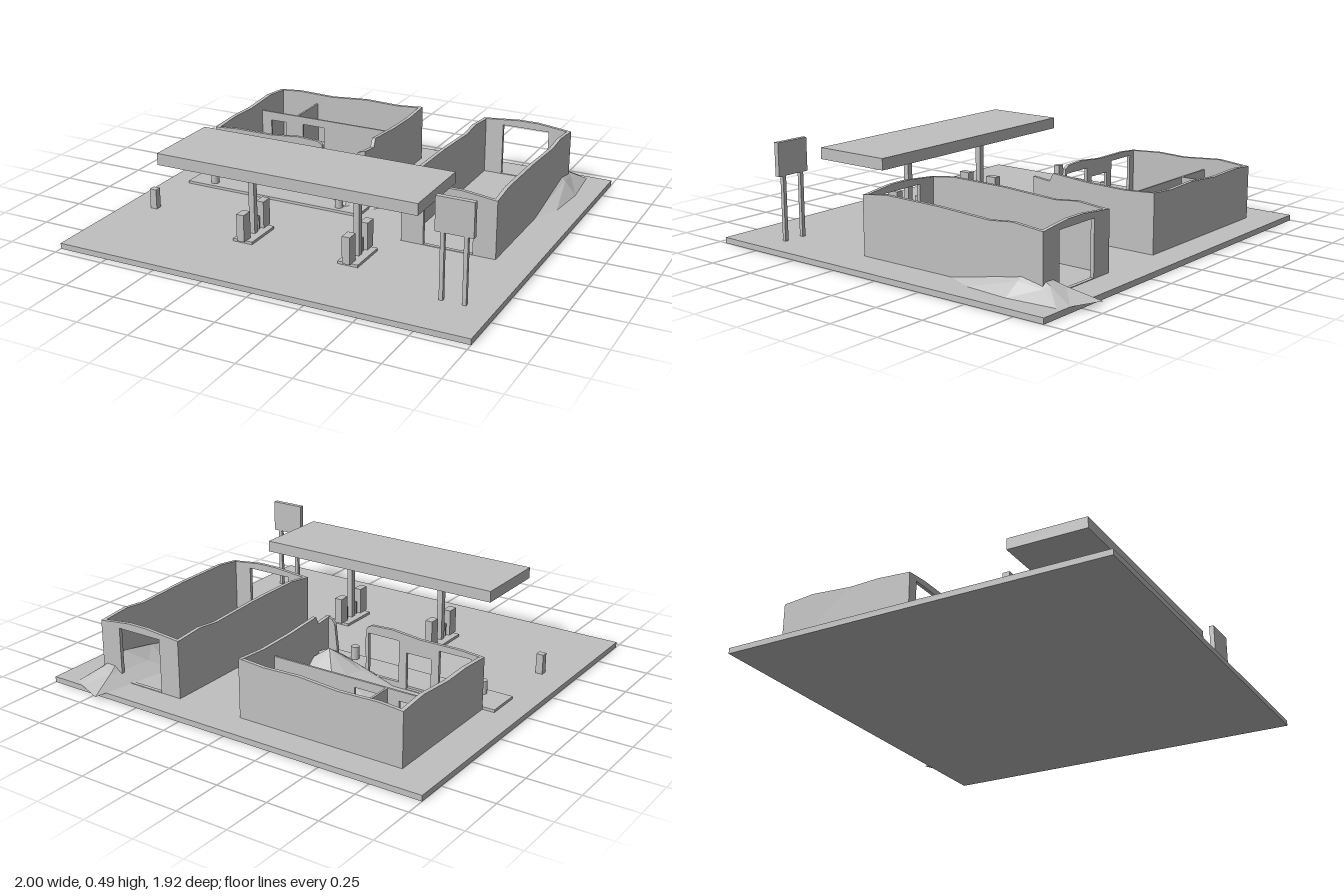
import * as THREE from 'three';

export function createModel() {
  const model = new THREE.Group();
  const grey = new THREE.MeshStandardMaterial({ color: 0xc0c0c0, side: THREE.DoubleSide });
  const ground = 0.027;

  const add = (name, geometry, parent = model) => {
    const flat = geometry.index ? geometry.toNonIndexed() : geometry;
    flat.computeVertexNormals();
    const mesh = new THREE.Mesh(flat, grey);
    mesh.name = name;
    parent.add(mesh);
    return mesh;
  };

  // Box given by its limits on each axis
  const box = (name, x0, x1, y0, y1, z0, z1, parent) =>
    add(name, new THREE.BoxGeometry(x1 - x0, y1 - y0, z1 - z0)
      .translate((x0 + x1) / 2, (y0 + y1) / 2, (z0 + z1) / 2), parent);

  // Wall with an uneven top [[u, y], ...] and rectangular openings [u0, u1, y0, y1]
  const wallShape = (top, openings) => {
    const first = top[0][0], last = top[top.length - 1][0];
    const shape = new THREE.Shape([[first, ground], [last, ground], ...top.slice().reverse()]
      .map(([u, y]) => new THREE.Vector2(u, y)));
    for (const [u0, u1, y0, y1] of openings) {
      shape.holes.push(new THREE.Path([[u0, y0], [u0, y1], [u1, y1], [u1, y0]]
        .map(([u, y]) => new THREE.Vector2(u, y))));
    }
    return shape;
  };
  const wallAlongX = (name, z, thick, top, openings = []) =>
    add(name, new THREE.ExtrudeGeometry(wallShape(top, openings), { depth: thick, bevelEnabled: false })
      .translate(0, 0, z));
  const wallAlongZ = (name, x, thick, top, openings = []) =>
    add(name, new THREE.ExtrudeGeometry(wallShape(top, openings), { depth: thick, bevelEnabled: false })
      .rotateY(-Math.PI / 2).translate(x + thick, 0, 0));

  // Faceted heap rising from an outline to a peak, through one middle ring
  const heap = (name, outline, [px, py, pz], rise) => {
    const points = [];
    const n = outline.length;
    const mid = outline.map(([x, z], i) => [
      x + (px - x) * 0.5, ground + (py - ground) * (rise + (i % 2 ? 0.07 : -0.07)), z + (pz - z) * 0.5]);
    for (let i = 0; i < n; i++) {
      const j = (i + 1) % n;
      const a = [outline[i][0], ground, outline[i][1]];
      const b = [outline[j][0], ground, outline[j][1]];
      points.push(...a, ...b, ...mid[j], ...a, ...mid[j], ...mid[i], ...mid[i], ...mid[j], px, py, pz);
    }
    const geometry = new THREE.BufferGeometry();
    geometry.setAttribute('position', new THREE.Float32BufferAttribute(points, 3));
    add(name, geometry);
  };

  // Ground and walkway
  box('groundSlab', -1, 1, 0, ground, -0.9, 0.96);
  box('walkway', -0.88, 0.07, ground, 0.04, -0.085, 0.087);

  // Shop: roofless walls with a collapsed front corner
  wallAlongX('shopBackWall', -0.757, 0.018,
    [[-0.82, 0.285], [-0.7, 0.295], [-0.5, 0.29], [-0.3, 0.305], [-0.12, 0.3], [0.018, 0.31]]);
  wallAlongZ('shopRightWall', -0.82, 0.02,
    [[-0.757, 0.285], [-0.6, 0.3], [-0.4, 0.285], [-0.25, 0.29], [-0.085, 0.28]]);
  wallAlongZ('shopLeftWall', 0, 0.018,
    [[-0.757, 0.31], [-0.6, 0.3], [-0.4, 0.305], [-0.2, 0.32], [-0.18, 0.28], [-0.085, 0.29]]);
  wallAlongX('shopFrontWall', -0.101, 0.016,
    [[-0.82, 0.28], [-0.7, 0.29], [-0.5, 0.29], [-0.35, 0.305], [-0.24, 0.3], [-0.215, 0.285],
      [-0.205, 0.2], [-0.212, 0.12], [-0.2, ground]],
    [[-0.765, -0.6, 0.055, 0.26], [-0.56, -0.43, 0.03, 0.21], [-0.39, -0.225, 0.055, 0.26]]);
  wallAlongX('shopFrontCornerPier', -0.101, 0.016,
    [[-0.04, ground + 0.001], [-0.05, 0.13], [-0.035, 0.26], [-0.02, 0.28], [0.018, 0.29]]);
  wallAlongX('shopPartition', -0.523, 0.01,
    [[-0.8, 0.24], [0, 0.24]],
    [[-0.745, -0.655, 0.055, 0.195], [-0.555, -0.43, 0.03, 0.2]]);
  wallAlongZ('shopShortPartition', -0.597, 0.01, [[-0.74, 0.24], [-0.52, 0.24]]);

  // Garage: open bay through both ends
  const bay = [[0.47, 0.71, 0.03, 0.29]];
  const gableTop = [[0.36, 0.308], [0.44, 0.315], [0.55, 0.325], [0.65, 0.325], [0.74, 0.315], [0.82, 0.305]];
  wallAlongX('garageFrontWall', 0.22, 0.018, gableTop, bay);
  wallAlongX('garageBackWall', -0.757, 0.018, gableTop, bay);
  const sideTop = [[-0.757, 0.306], [-0.6, 0.32], [-0.48, 0.308], [-0.2, 0.322], [0.1, 0.325], [0.238, 0.307]];
  wallAlongZ('garageRightWall', 0.36, 0.018, sideTop);
  wallAlongZ('garageLeftWall', 0.802, 0.018, sideTop);

  // Heaps of rubble and sand
  heap('shopRubble', [[-0.36, -0.1], [-0.24, -0.04], [-0.13, -0.01], [-0.03, 0.05], [0.09, -0.03], [0.22, -0.16],
    [0.14, -0.21], [0.14, -0.31], [-0.02, -0.385], [-0.2, -0.35], [-0.31, -0.27]], [-0.06, 0.173, -0.18], 0.45);
  heap('garageSand', [[0.61, -0.52], [0.81, -0.25], [0.88, -0.41], [0.9, -0.63], [0.88, -0.87],
    [0.83, -0.9], [0.69, -0.96]], [0.78, 0.13, -0.66], 0.5);

  // Canopy on two posts, each standing on a pump island
  box('canopyRoof', -0.64, 0.64, 0.375, 0.43, 0.29, 0.685);
  for (const x of [-0.268, 0.265]) {
    const island = new THREE.Group();
    island.name = 'pumpIsland';
    model.add(island);
    box('islandBase', x - 0.05, x + 0.05, ground, 0.04, 0.385, 0.585, island);
    box('canopyPost', x - 0.014, x + 0.014, 0.04, 0.375, 0.471, 0.499, island);
    for (const side of [-1, 1]) {
      const z = 0.485 + side * 0.088;
      box('fuelPump', x - 0.019, x + 0.019, 0.04, 0.17, z - 0.029, z + 0.029, island);
      const s = 0.485 + side * 0.042;
      box('guardPost', x - 0.006, x + 0.006, 0.04, 0.105, s - 0.005, s + 0.005, island);
    }
  }

  // Bins on the walkway and a service box
  for (const x of [-0.75, -0.055]) {
    const bin = new THREE.Mesh(new THREE.CylinderGeometry(0.02, 0.02, 0.063, 20), grey);
    bin.name = 'bin';
    bin.position.set(x, 0.0715, 0.045);
    model.add(bin);
  }
  box('serviceBox', -0.87, -0.835, ground, 0.125, 0.403, 0.436);

  // Roadside sign
  box('signBoard', 0.727, 0.9, 0.335, 0.493, 0.687, 0.711);
  for (const x of [0.76, 0.865]) box('signPost', x - 0.009, x + 0.009, ground, 0.335, 0.69, 0.708);

  return model;
}
